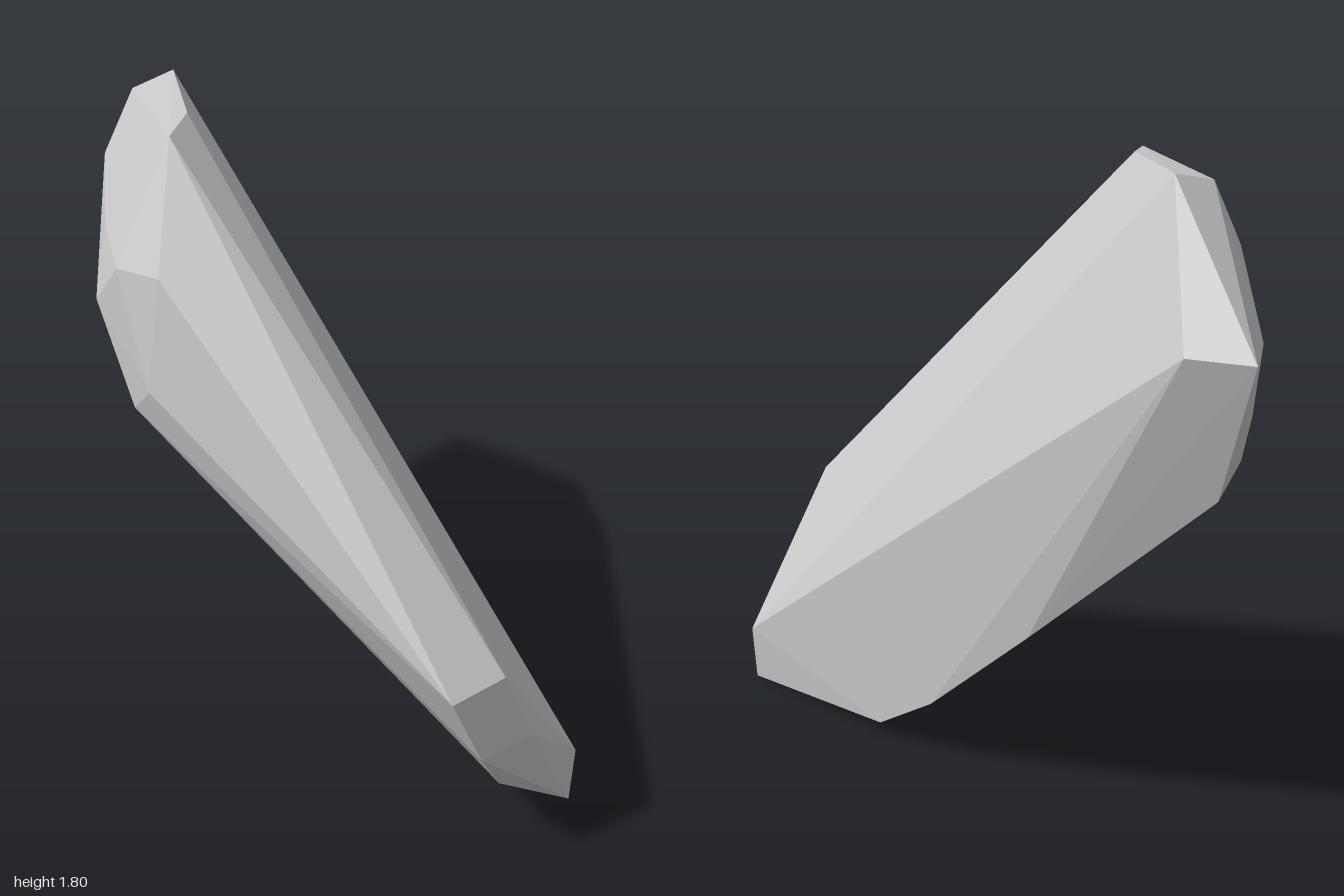
import * as THREE from 'three';
import { ConvexGeometry } from 'three/addons/geometries/ConvexGeometry.js';

export function createModel() {
  const group = new THREE.Group();
  group.name = 'rock';

  const stone = new THREE.MeshStandardMaterial({ color: 0xc9c9c9, flatShading: true });
  stone.name = 'pale grey stone';

  // Corners of the faceted, leaning stone
  const corners = [
    // crown
    [-0.16, 1.79, -0.22], [-0.04, 1.8, -0.3], [0.12, 1.8, -0.58], [-0.01, 1.77, -0.6],
    // upper back
    [0.36, 1.42, -0.83], [0.29, 1.42, -1], [0.12, 1.42, -0.88], [-0.07, 1.45, -0.68],
    [-0.1, 1.59, -0.62], [-0.25, 1.49, -0.41],
    // bulging flank
    [-0.325, 1.48, -0.06], [-0.342, 1.45, -0.23], [-0.325, 1.3, -0.36],
    [-0.36, 1.14, -0.07], [-0.34, 1.04, -0.17],
    // underside ridge
    [0.23, 1.27, -0.94], [0.23, 1.15, -0.91], [0.24, 1.03, -0.85],
    [0.335, 0.51, -0.27], [0.352, 0.19, 0.11], [0.35, 0.05, 0.34],
    // foot
    [0.355, 0.17, 0.95], [0.34, 0, 0.955], [0.27, 0.05, 0.79], [0.19, 0.085, 0.88],
    [0.07, 0.19, 0.93], [-0.08, 0.4, 1], [0.11, 0.39, 1], [-0.17, 0.61, 0.97],
    [0.01, 0.62, 0.98],
  ].map((p) => new THREE.Vector3(...p));

  const mesh = new THREE.Mesh(new ConvexGeometry(corners), stone);
  mesh.name = 'stone';
  group.add(mesh);
  return group;
}
